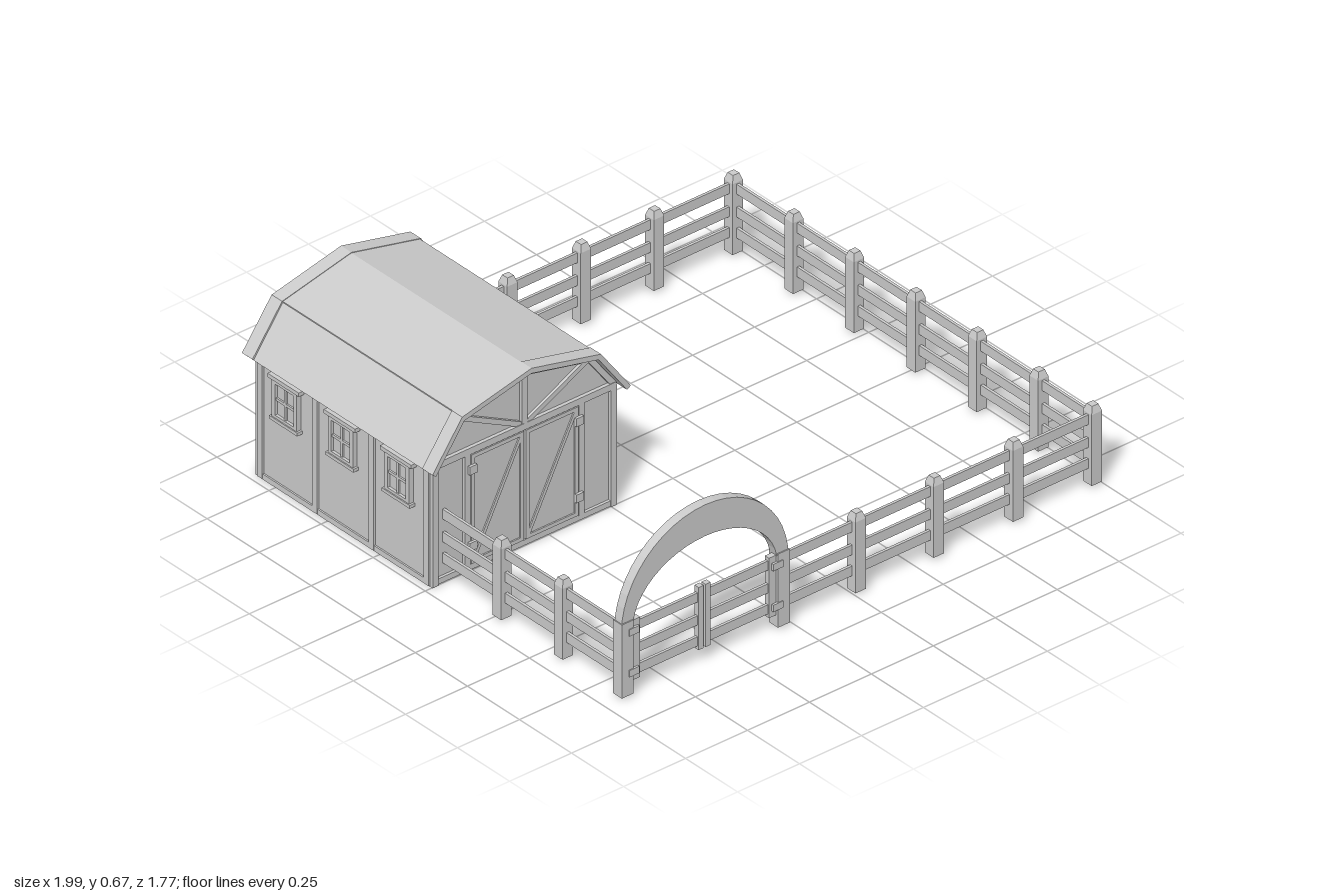
import * as THREE from 'three';

const mat = new THREE.MeshStandardMaterial({ color: 0xcccccc, flatShading: true });

function add(parent, name, geo, x = 0, y = 0, z = 0) {
  const m = new THREE.Mesh(geo, mat);
  m.name = name;
  m.position.set(x, y, z);
  parent.add(m);
  return m;
}

// Box given by its centre and size
const box = (p, name, x, y, z, w, h, d) => add(p, name, new THREE.BoxGeometry(w, h, d), x, y, z);

function group(parent, name, x = 0, y = 0, z = 0) {
  const g = new THREE.Group();
  g.name = name;
  g.position.set(x, y, z);
  parent.add(g);
  return g;
}

// Board lying in a plane of constant z, from point a to point b
function board(p, name, a, b, z, width, depth) {
  const dx = b[0] - a[0], dy = b[1] - a[1];
  const m = box(p, name, (a[0] + b[0]) / 2, (a[1] + b[1]) / 2, z, Math.hypot(dx, dy), width, depth);
  m.rotation.z = Math.atan2(dy, dx);
  return m;
}

function prism(p, name, points, z0, z1) {
  const shape = new THREE.Shape(points.map(([x, y]) => new THREE.Vector2(x, y)));
  const geo = new THREE.ExtrudeGeometry(shape, { depth: z1 - z0, bevelEnabled: false });
  return add(p, name, geo, 0, 0, z0);
}

// Mirrors a half profile (from +x side up to the centre) to a full one
const mirrored = half => [...half, ...half.slice(0, -1).reverse().map(([x, y]) => [-x, y])];

function post(parent, x, z) {
  const g = group(parent, 'fencePost', x, 0, z);
  box(g, 'postShaft', 0, 0.14, 0, 0.042, 0.26, 0.042);
  const cap = new THREE.CylinderGeometry(0.018, 0.0297, 0.025, 4).rotateY(Math.PI / 4);
  add(g, 'postCap', cap, 0, 0.2825, 0);
}

const RAILS = [0.085, 0.162, 0.246];

function fence(parent, name, [x0, z0], [x1, z1], posts) {
  const g = group(parent, name);
  const w = Math.abs(x1 - x0) || 0.01, d = Math.abs(z1 - z0) || 0.01;
  for (const y of RAILS) box(g, 'fenceRail', (x0 + x1) / 2, y, (z0 + z1) / 2, w, 0.036, d);
  for (const [x, z] of posts) post(g, x, z);
}

// Window facing +x, centred on its own origin
function windowUnit(parent, z) {
  const g = group(parent, 'window', 0.373, 0.335, z);
  box(g, 'windowPane', 0, 0, 0, 0.008, 0.13, 0.1);
  for (const s of [-1, 1]) {
    box(g, 'windowJamb', 0.005, 0, s * 0.052, 0.018, 0.14, 0.016);
    box(g, 'windowRail', 0.005, s * 0.064, 0, 0.018, 0.014, 0.11);
  }
  box(g, 'windowMullion', 0.004, 0, 0, 0.012, 0.13, 0.01);
  box(g, 'windowMuntin', 0.004, 0, 0, 0.012, 0.01, 0.1);
  box(g, 'windowLintel', 0.007, 0.077, 0, 0.022, 0.014, 0.15);
  box(g, 'windowSill', 0.007, -0.073, 0, 0.022, 0.012, 0.135);
}

const Z0 = -0.835, Z1 = -0.01, ZM = (Z0 + Z1) / 2;

function sideWall(parent, s) {
  const g = group(parent, s > 0 ? 'leftWall' : 'rightWall', 0, 0, s > 0 ? 0 : 2 * ZM);
  if (s < 0) g.rotation.y = Math.PI;
  box(g, 'wallPanel', 0.364, 0.222, ZM, 0.012, 0.444, Z1 - Z0);
  box(g, 'sillBoard', 0.369, 0.012, ZM, 0.014, 0.02, Z1 - Z0);
  box(g, 'topBoard', 0.371, 0.432, ZM, 0.014, 0.02, Z1 - Z0);
  for (const z of [-0.822, -0.558, -0.287, -0.023]) {
    box(g, 'wallBatten', 0.372, 0.22, z, 0.012, 0.43, 0.025);
  }
  for (const z of [-0.692, -0.422, -0.152]) windowUnit(g, z);
}

// Gable end facing +z, on the plane z = 0
function gableEnd(parent, name) {
  const g = group(parent, name);
  prism(g, 'gableWall', mirrored([[0.37, 0], [0.37, 0.455], [0.272, 0.59], [0, 0.652]]), -0.012, 0);
  board(g, 'tieBeam', [-0.37, 0.44], [0.37, 0.44], 0.005, 0.024, 0.016);
  board(g, 'sillBoard', [-0.37, 0.012], [0.37, 0.012], 0.004, 0.02, 0.012);
  board(g, 'kingPost', [0, 0.44], [0, 0.64], 0.005, 0.022, 0.015);
  for (const s of [-1, 1]) {
    board(g, 'cornerBoard', [s * 0.36, 0], [s * 0.36, 0.44], 0.005, 0.024, 0.016);
    board(g, 'wallBatten', [s * 0.23, 0.02], [s * 0.23, 0.43], 0.005, 0.022, 0.014);
    board(g, 'strut', [s * 0.01, 0.45], [s * 0.262, 0.578], 0.004, 0.018, 0.013);
    board(g, 'upperRakeTrim', [0, 0.637], [s * 0.268, 0.577], 0.004, 0.02, 0.014);
    board(g, 'lowerRakeTrim', [s * 0.262, 0.58], [s * 0.36, 0.448], 0.004, 0.02, 0.014);
  }
  return g;
}

function roof(parent) {
  const g = group(parent, 'roof');
  const outer = [[0.4, 0.442], [0.28, 0.606], [0, 0.67]];
  const inner = [[0.385, 0.432], [0.271, 0.589], [0, 0.651]];
  const shell = (a, b) => [...mirrored(a), ...mirrored(b).reverse()];
  prism(g, 'roofShell', shell(outer.map(([x, y]) => [x - x * 0.012, y - 0.005]), inner), -0.88, 0.035);
  // Raised bands along both roof edges
  for (const z of [-0.88, -0.015]) prism(g, 'roofEdgeBand', shell(outer, inner), z, z + 0.05);
  // Cover sheets on the two upper slopes
  prism(g, 'upperRoofSheet', mirrored([[0.277, 0.595], [0.277, 0.6045], [0, 0.668]]), -0.83, -0.015);
}

function doors(parent) {
  for (const s of [-1, 1]) {
    const g = group(parent, s > 0 ? 'leftDoor' : 'rightDoor', s * 0.11, 0, 0.004);
    box(g, 'doorPanel', 0, 0.225, 0, 0.212, 0.4, 0.01);
    for (const t of [-1, 1]) {
      box(g, 'doorStile', t * 0.099, 0.225, 0.005, 0.014, 0.4, 0.01);
      box(g, 'doorRail', 0, 0.225 + t * 0.193, 0.005, 0.212, 0.014, 0.01);
      box(g, 'doorHinge', s * 0.105, 0.235 + t * 0.14, 0.014, 0.03, 0.03, 0.01);
    }
    board(g, 'doorBrace', [-0.095, 0.04], [0.095, 0.41], 0.005, 0.012, 0.01);
  }
}

function entrance(parent) {
  const g = group(parent, 'entrance', -0.602, 0, 0.853);
  // Crescent arch standing on two uprights
  const s = new THREE.Shape();
  s.moveTo(0.338, 0.01);
  s.lineTo(0.338, 0.245);
  s.absellipse(0, 0.245, 0.338, 0.335, 0, Math.PI, false);
  s.lineTo(-0.338, 0.01);
  s.lineTo(-0.292, 0.01);
  s.lineTo(-0.292, 0.245);
  s.absellipse(0, 0.245, 0.292, 0.22, Math.PI, 0, true);
  s.lineTo(0.292, 0.01);
  const geo = new THREE.ExtrudeGeometry(s, { depth: 0.034, bevelEnabled: false, curveSegments: 12 });
  add(g, 'arch', geo, 0, 0, -0.017);
  for (const t of [-1, 1]) {
    box(g, 'archPost', t * 0.315, 0.145, 0, 0.048, 0.27, 0.042);
    const leaf = group(g, t > 0 ? 'leftGateLeaf' : 'rightGateLeaf');
    for (const y of RAILS) box(leaf, 'gateRail', t * 0.146, y, 0.005, 0.28, 0.034, 0.01);
    box(leaf, 'gateInnerStile', t * 0.014, 0.17, 0.005, 0.02, 0.23, 0.02);
    box(leaf, 'gateOuterStile', t * 0.274, 0.165, 0.005, 0.028, 0.22, 0.02);
    for (const y of [0.09, 0.24]) box(leaf, 'gateHinge', t * 0.29, y, 0.02, 0.04, 0.025, 0.008);
  }
}

export function createModel() {
  const model = new THREE.Group();
  model.name = 'barnAndPaddock';

  // Barn, open underneath
  const barn = group(model, 'barn', -0.6, 0, 0);
  sideWall(barn, 1);
  sideWall(barn, -1);
  const front = gableEnd(barn, 'frontGable');
  front.position.z = Z1;
  doors(front);
  const back = gableEnd(barn, 'backGable');
  back.position.z = Z0;
  back.rotation.y = Math.PI;
  roof(barn);

  // Paddock fences
  const X = 0.973, ZF = 0.857, ZB = -0.867;
  fence(model, 'backFence', [-0.25, ZB], [X, ZB], [-0.25, 0.063, 0.36, 0.655].map(x => [x, ZB]));
  fence(model, 'leftFence', [X, ZB], [X, ZF],
    [ZB, -0.577, -0.285, 0.01, 0.305, 0.6, ZF].map(z => [X, z]));
  fence(model, 'frontFence', [-0.285, ZF], [X, ZF], [0.02, 0.335, 0.655].map(x => [x, ZF]));
  fence(model, 'rightFence', [-0.917, -0.01], [-0.917, ZF], [0.27, 0.565].map(z => [-0.917, z]));
  entrance(model);
  return model;
}
